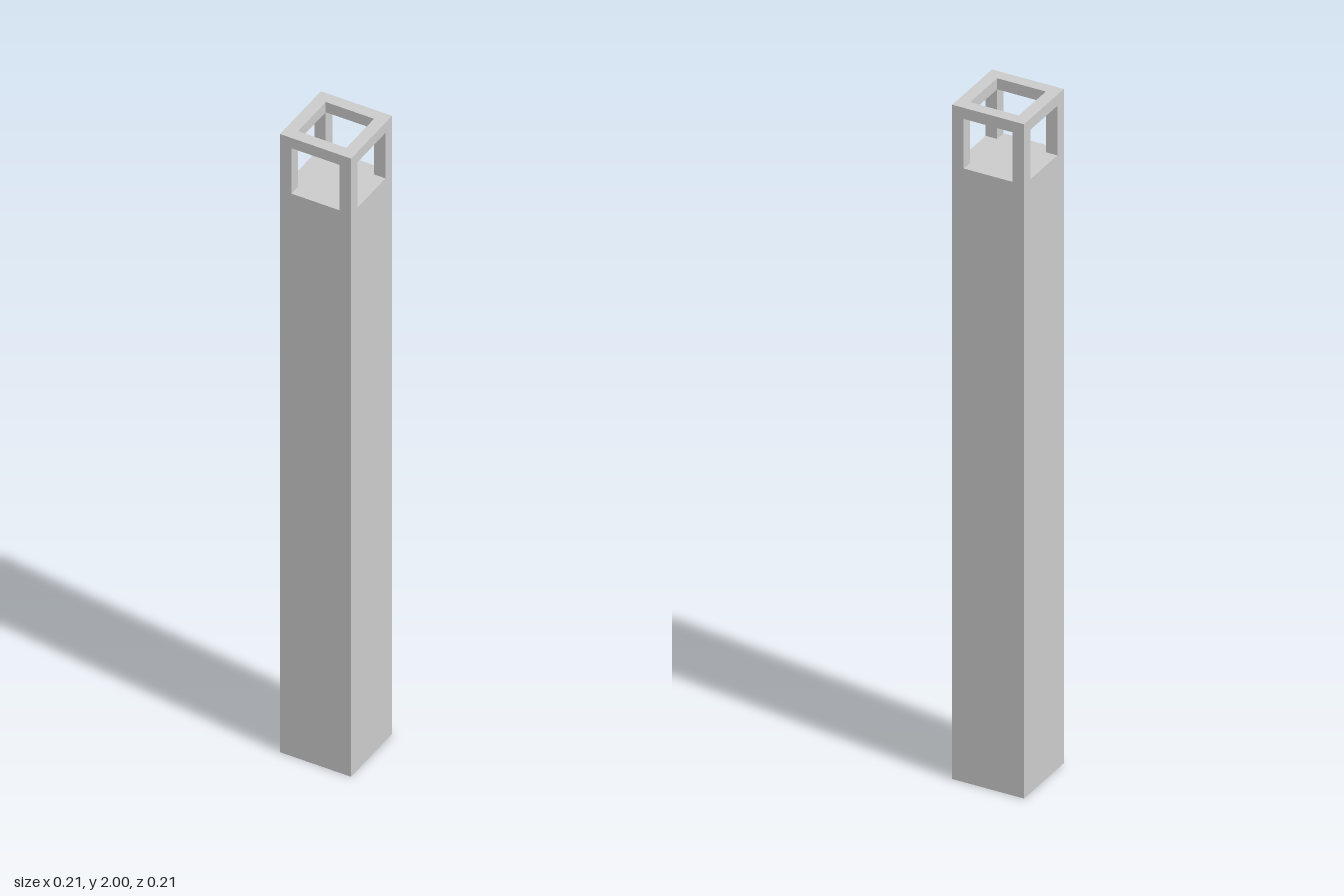
import * as THREE from 'three';

const HALF = 0.106;    // outer half width
const INNER = 0.072;   // half width of the openings
const SILL = 1.82;     // bottom of the openings
const LINTEL = 1.967;  // top of the openings

export function createModel() {
  const group = new THREE.Group();
  const material = new THREE.MeshStandardMaterial({ color: 0xcccccc, flatShading: true });
  const add = (name, geometry, x, y, z) => {
    const mesh = new THREE.Mesh(geometry, material);
    mesh.name = name;
    mesh.position.set(x, y, z);
    group.add(mesh);
    return mesh;
  };

  // Solid square shaft
  add('shaft', new THREE.BoxGeometry(HALF * 2, SILL, HALF * 2), 0, SILL / 2, 0);

  // Four corner posts of the open lantern
  const post = HALF - INNER;
  const mid = (HALF + INNER) / 2;
  const postGeometry = new THREE.BoxGeometry(post, LINTEL - SILL, post);
  for (const sx of [-1, 1]) {
    for (const sz of [-1, 1]) {
      add('cornerPost', postGeometry, sx * mid, (SILL + LINTEL) / 2, sz * mid);
    }
  }

  // Square top ring with an open centre
  const square = (h, Type) => new Type([
    new THREE.Vector2(-h, -h), new THREE.Vector2(h, -h),
    new THREE.Vector2(h, h), new THREE.Vector2(-h, h),
  ]);
  const ring = square(HALF, THREE.Shape);
  ring.holes.push(square(INNER, THREE.Path));
  const ringGeometry = new THREE.ExtrudeGeometry(ring, { depth: 2 - LINTEL, bevelEnabled: false });
  ringGeometry.rotateX(-Math.PI / 2);
  add('topRing', ringGeometry, 0, LINTEL, 0);

  return group;
}
